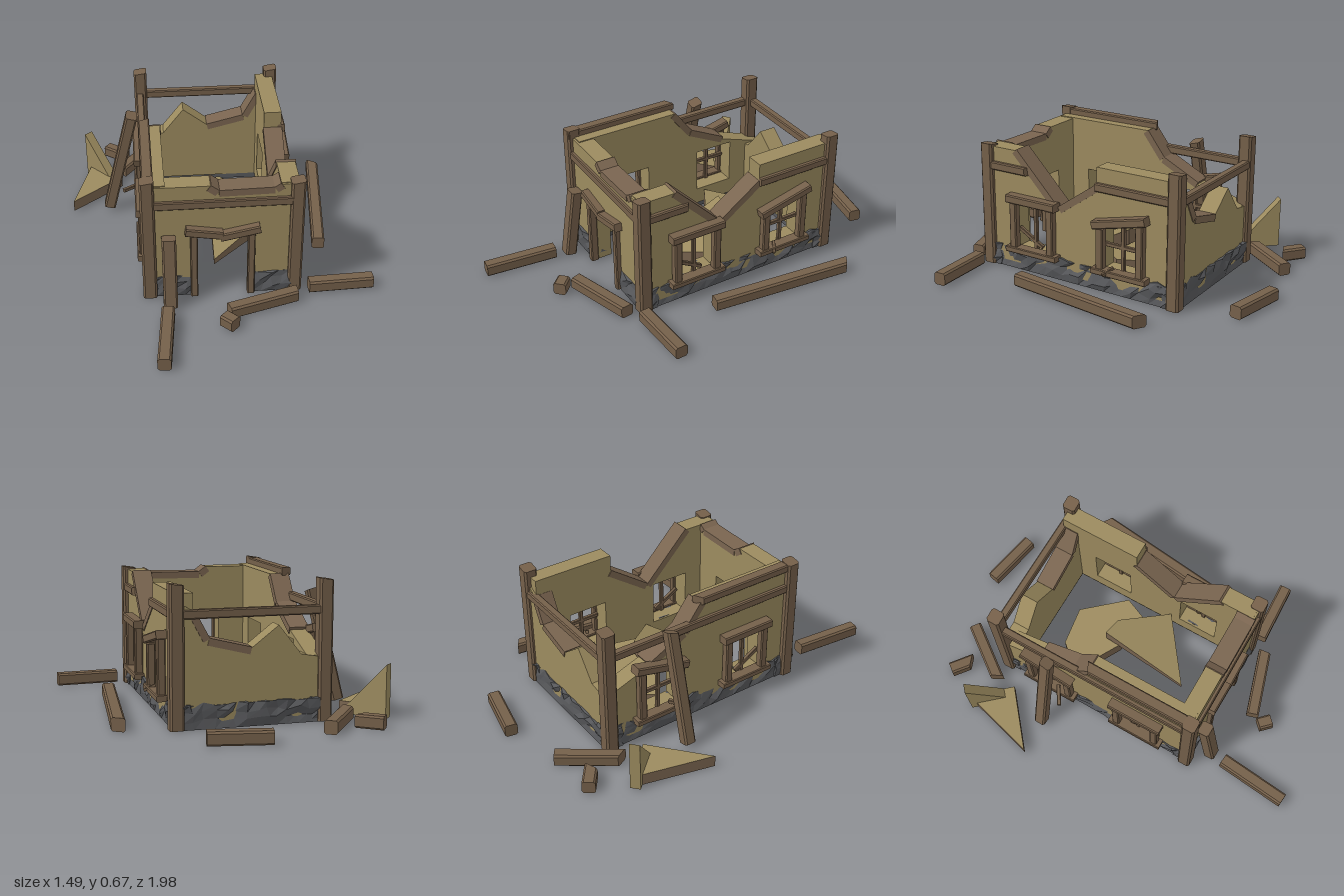
import * as THREE from 'three';

const mat = (color, side = THREE.FrontSide) => new THREE.MeshStandardMaterial({ color, flatShading: true, side });
const WOOD = mat(0x75604a), PLASTER = mat(0x9c8b5f), CORE = mat(0x7a6550), STONE = mat(0x58595c);
const V = (p) => new THREE.Vector3(...p);
// repeatable noise in -0.5..0.5, tied to position so shared corners stay together
const noise = (x, y, z, k) => {
  const s = Math.sin(x * 127.1 + y * 311.7 + z * 74.7 + k * 53.3) * 43758.5453;
  return s - Math.floor(s) - 0.5;
};

export function createModel() {
  const house = new THREE.Group();
  house.name = 'ruinedHouse';
  const add = (geo, material, name, parent = house) => {
    const m = new THREE.Mesh(geo, material);
    m.name = name;
    parent.add(m);
    return m;
  };
  const poly = (pts) => new THREE.Shape(pts.map((p) => new THREE.Vector2(...p)));

  // chamfered timber from a to b; slant cuts the far end at an angle
  function beam(name, a, b, w = 0.06, h = w, slant = 0, parent = house) {
    const A = V(a), B = V(b), L = A.distanceTo(B), x = w / 2, y = h / 2, c = Math.min(w, h) * 0.14;
    const geo = new THREE.ExtrudeGeometry(poly([[-x + c, -y], [x - c, -y], [x, -y + c], [x, y - c],
      [x - c, y], [-x + c, y], [-x, y - c], [-x, -y + c]]), { depth: L, bevelEnabled: false });
    const p = geo.attributes.position;
    for (let i = 0; i < p.count; i++) if (p.getZ(i) > L / 2) p.setZ(i, L + p.getX(i) * slant);
    geo.computeVertexNormals();
    const m = add(geo, WOOD, name, parent);
    m.position.copy(A);
    m.lookAt(B);
    return m;
  }

  // wall panel drawn as (along, height), with window holes and brown bands on broken edges
  const T = 0.09;
  function wall(name, outline, holes, breaks, place) {
    const g = new THREE.Group();
    g.name = name;
    const s = poly(outline);
    for (const [u0, y0, u1, y1] of holes) s.holes.push(new THREE.Path(poly([[u0, y0], [u0, y1], [u1, y1], [u1, y0]]).getPoints()));
    add(new THREE.ExtrudeGeometry(s, { depth: T, bevelEnabled: false }), PLASTER, name + 'Panel', g);
    for (const [u0, y0, u1, y1] of breaks) {
      const a = Math.atan2(y1 - y0, u1 - u0), L = Math.hypot(u1 - u0, y1 - y0);
      const geo = new THREE.BoxGeometry(L, 0.035, T + 0.008).translate(L / 2, -0.012, T / 2).rotateZ(a).translate(u0, y0, 0);
      add(geo, CORE, name + 'BrokenEdge', g);
    }
    place(g);
    house.add(g);
  }
  const alongZ = (x) => (g) => { g.rotation.y = -Math.PI / 2; g.position.x = x; };
  const windows = [[0.06, 0.13, 0.27, 0.365], [-0.45, 0.13, -0.24, 0.365]];
  wall('frontWall', [[-0.36, 0.04], [-0.13, 0.01], [-0.13, 0.38], [0.13, 0.38], [0.13, 0.01], [0.36, 0.04], [0.36, 0.63],
    [0.27, 0.625], [0.24, 0.607], [-0.02, 0.6], [-0.06, 0.635], [-0.36, 0.635]], [],
    [[-0.06, 0.635, -0.02, 0.605], [-0.02, 0.605, 0.24, 0.61], [0.24, 0.61, 0.27, 0.63]], (g) => { g.position.z = 0.37; });
  wall('backWall', [[-0.36, 0.04], [0.36, 0.04], [0.36, 0.6], [0.27, 0.55], [0.2, 0.42], [0, 0.37], [-0.13, 0.47], [-0.24, 0.33], [-0.36, 0.31]], [],
    [[0.2, 0.42, 0.27, 0.55], [0, 0.37, 0.2, 0.42]], (g) => { g.position.z = -0.64; });
  wall('rightWall', [[-0.63, 0.04], [0.45, 0.04], [0.45, 0.63], [0.27, 0.63], [0.02, 0.375], [-0.2, 0.53], [-0.2, 0.63], [-0.63, 0.63]], windows,
    [[0.02, 0.38, 0.27, 0.635], [-0.2, 0.54, 0.02, 0.385]], alongZ(0.36));
  wall('leftWall', [[-0.63, 0.04], [0.45, 0.04], [0.45, 0.64], [-0.1, 0.64], [-0.2, 0.5], [-0.4, 0.4], [-0.63, 0.32]], windows,
    [[-0.2, 0.51, -0.1, 0.64], [-0.4, 0.41, -0.2, 0.51]], alongZ(-0.27));

  // rough stone footing, one lumpy run per side
  function footing(x0, x1, z0, z1) {
    const w = x1 - x0, d = z1 - z0;
    const geo = new THREE.BoxGeometry(w, 0.115, d, Math.max(2, Math.round(w / 0.05)), 3, Math.max(2, Math.round(d / 0.05)));
    geo.translate((x0 + x1) / 2, 0.066, (z0 + z1) / 2);
    const p = geo.attributes.position;
    for (let i = 0; i < p.count; i++) {
      const [x, y, z] = [p.getX(i), p.getY(i), p.getZ(i)].map((v) => Math.round(v * 1000) / 1000);
      if (y < 0.015) continue;
      const inside = Math.abs(x) < 0.29 && z > -0.56 && z < 0.38;
      const k = inside ? 0 : 0.026;
      p.setXYZ(i, x + noise(x, y, z, 1) * k, y + noise(x, y, z, 2) * 0.022, z + noise(x, y, z, 3) * k);
    }
    geo.computeVertexNormals();
    add(geo, STONE, 'stoneFooting');
  }
  footing(-0.365, -0.28, -0.64, 0.46);
  footing(0.28, 0.365, -0.64, 0.46);
  footing(-0.37, 0.37, -0.648, -0.558);
  footing(-0.37, -0.14, 0.38, 0.468);
  footing(0.14, 0.37, 0.38, 0.468);

  // corner posts
  for (const [x, z, h] of [[-0.355, 0.45, 0.675], [0.35, 0.445, 0.64], [-0.355, -0.625, 0.675], [0.35, -0.625, 0.67]])
    beam('cornerPost', [x, 0.01, z], [x, h, z], 0.068, 0.068, 0.15);

  // rails between the posts
  beam('frontRail', [-0.33, 0.54, 0.46], [0.33, 0.54, 0.46], 0.035, 0.042);
  beam('backRail', [-0.33, 0.535, -0.635], [0.33, 0.535, -0.635], 0.04, 0.042);
  beam('leftRail', [-0.36, 0.535, 0.42], [-0.36, 0.535, -0.6], 0.04, 0.042);
  beam('leftTopBeam', [-0.35, 0.652, 0.48], [-0.35, 0.652, -0.11], 0.055, 0.04, -0.5);
  beam('rightRail', [0.36, 0.535, -0.6], [0.36, 0.535, -0.2], 0.04, 0.042);
  beam('rightRailStub', [0.36, 0.535, 0.42], [0.36, 0.535, 0.2], 0.04, 0.042, 0.6);

  // door frame with a snapped lintel
  beam('doorJamb', [-0.14, 0.01, 0.465], [-0.14, 0.385, 0.465], 0.035, 0.04);
  beam('doorJamb', [0.135, 0.01, 0.465], [0.135, 0.375, 0.465], 0.035, 0.04);
  beam('doorLintel', [-0.18, 0.4, 0.475], [-0.005, 0.372, 0.475], 0.05, 0.042);
  beam('doorLintel', [0.175, 0.4, 0.475], [-0.015, 0.36, 0.475], 0.05, 0.042);

  // window frames, mirrored on both long walls
  for (const s of [1, -1]) {
    for (const [c, tilt] of [[0.165, 0], [-0.345, 0.035]]) {
      const g = new THREE.Group();
      g.name = s > 0 ? 'rightWindow' : 'leftWindow';
      house.add(g);
      const x = s * 0.38, xi = s * 0.35;
      beam('sill', [x, 0.125, c - 0.15], [x, 0.125, c + 0.15], 0.06, 0.03, 0, g);
      beam('lintel', [x, 0.39 + tilt, c - 0.145], [x, 0.39 - tilt, c + 0.145], 0.06, 0.042, 0, g);
      for (const e of [-1, 1]) beam('jamb', [x, 0.13, c + e * 0.11], [x, 0.375 - tilt * e, c + e * 0.11], 0.04, 0.04, 0, g);
      beam('mullion', [xi, 0.13, c], [xi, 0.37, c], 0.02, 0.02, 0, g);
      if (tilt) beam('crossbar', [xi, 0.255, c - 0.1], [xi, 0.255, c + 0.1], 0.02, 0.02, 0, g);
      else beam('brokenBar', [xi, 0.23, c + 0.1], [xi, 0.15, c - 0.04], 0.02, 0.02, 0, g);
    }
  }
  beam('splinter', [-0.38, 0.165, -0.3], [-0.47, 0.165, -0.24], 0.02);
  beam('splinter', [0.37, 0.15, -0.3], [0.42, 0.12, -0.27], 0.015);

  // leaning timbers
  beam('leaningBeam', [-0.55, 0.03, -0.31], [-0.41, 0.585, -0.31], 0.06, 0.06, 0.3);
  beam('leaningPost', [-0.26, 0.015, 0.55], [-0.26, 0.375, 0.495], 0.068, 0.06);

  // timbers scattered on the ground
  for (const [x0, z0, x1, z1, k] of [[0, -0.96, 0.285, -0.905, 0], [-0.29, -0.89, -0.475, -0.635, 0.5], [-0.56, -0.87, -0.47, -0.8, 0.6],
    [0.522, 0.15, 0.607, -0.59, 0.5], [0.42, 0.48, 0.74, 0.467, 0], [0.015, 0.645, 0.355, 0.54, 0.2],
    [-0.275, 0.625, -0.31, 0.99, 0], [-0.015, 0.695, 0.035, 0.745, 0]])
    beam('fallenBeam', [x0, 0.042, z0], [x1, 0.042, z1], 0.064, 0.064, k);

  // fallen plaster slabs: outline in (x, z), top height given by a plane
  function slab(name, pts, thick, height) {
    const geo = new THREE.ExtrudeGeometry(poly(pts.map(([x, z]) => [x, -z])), { depth: thick, bevelEnabled: false }).rotateX(-Math.PI / 2);
    const p = geo.attributes.position;
    for (let i = 0; i < p.count; i++) p.setY(i, Math.max(0.01, p.getY(i) - thick + height(p.getX(i), p.getZ(i))));
    geo.computeVertexNormals();
    add(geo, [PLASTER, CORE], name);
  }
  slab('fallenSlab', [[-0.26, -0.28], [-0.14, -0.41], [0.06, -0.44], [0.23, -0.23], [0.17, -0.1], [-0.02, -0.14]], 0.09,
    (x, z) => 0.12 + (z + 0.28) * 0.15);
  slab('leaningSlab', [[-0.025, -0.22], [0.07, -0.2], [0.27, 0.01], [-0.025, 0.24]], 0.08,
    (x, z) => 0.14 - z * 0.42);
  slab('outerSlab', [[-0.64, -0.7], [-0.48, -0.52], [-0.745, -0.295]], 0.06, () => 0.07);
  // upright fin still attached to the outer slab
  const fin = new THREE.ExtrudeGeometry(poly([[0, 0], [0.24, 0], [0, 0.26]]), { depth: 0.05, bevelEnabled: false });
  const f = add(fin, PLASTER, 'outerSlabFin');
  f.position.set(-0.64, 0.01, -0.7);
  f.rotation.y = -0.84;

  return house;
}
